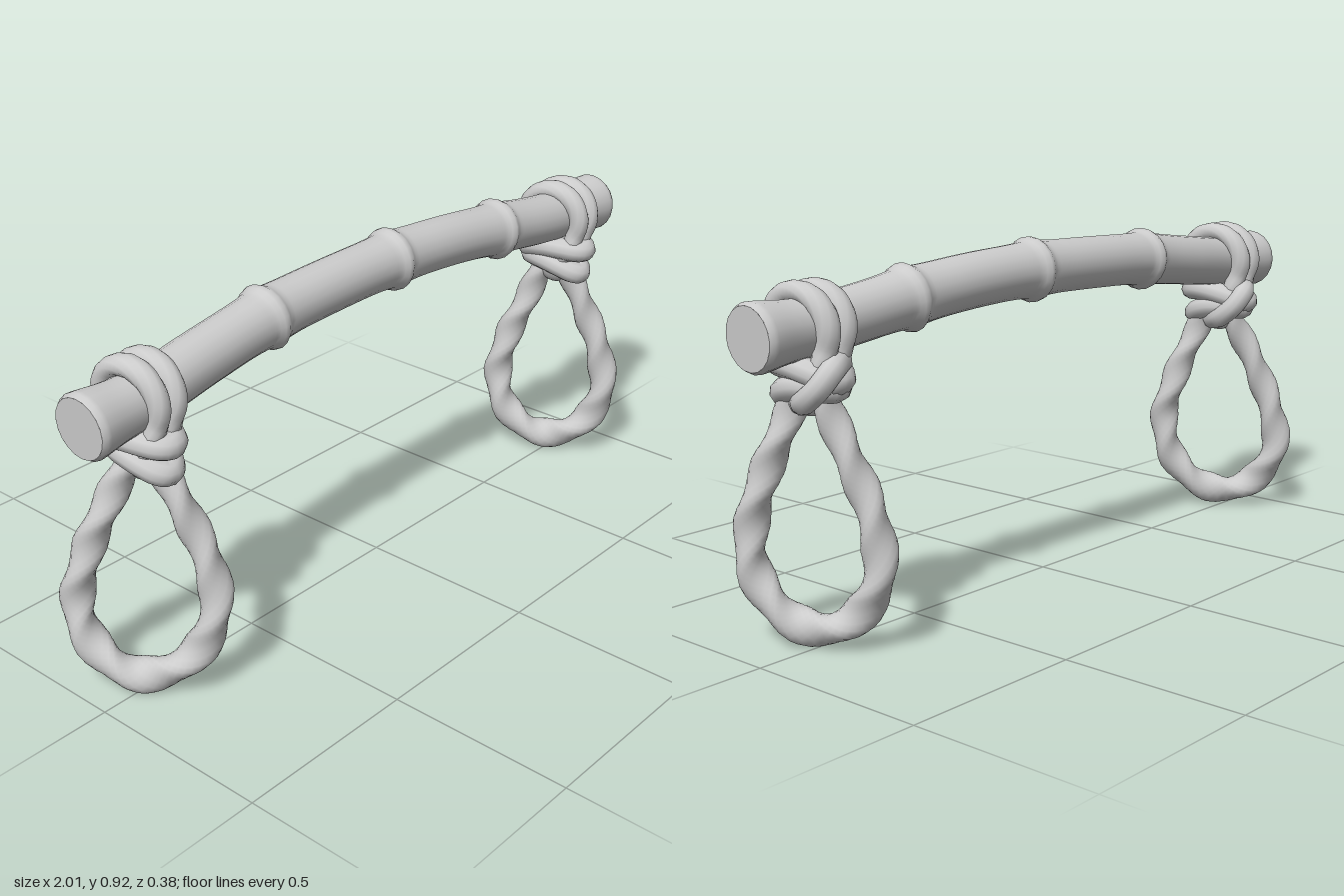
import * as THREE from 'three';

const material = new THREE.MeshStandardMaterial({ color: 0xcccccc, side: THREE.DoubleSide });
const vectors = (list) => list.map((p) => new THREE.Vector3(...p));
const curveOf = (list, closed = false) => new THREE.CatmullRomCurve3(vectors(list), closed, 'centripetal');

// Sweeps an oval section along a curve; section(u, point) gives { a, b, turn }
function sweep(name, curve, segments, sides, section) {
  const closed = curve.closed;
  const frames = curve.computeFrenetFrames(segments, closed);
  const rows = closed ? segments : segments + 1;
  const position = [];
  const index = [];
  for (let i = 0; i < rows; i++) {
    const u = i / segments;
    const p = curve.getPointAt(u);
    const { a, b, turn } = section(u, p);
    for (let j = 0; j < sides; j++) {
      const t = (j / sides) * Math.PI * 2;
      const x = a * Math.cos(t);
      const y = b * Math.sin(t);
      const v = p.clone()
        .addScaledVector(frames.normals[i], x * Math.cos(turn) - y * Math.sin(turn))
        .addScaledVector(frames.binormals[i], x * Math.sin(turn) + y * Math.cos(turn));
      position.push(v.x, v.y, v.z);
    }
  }
  for (let i = 0; i < segments; i++) {
    const r0 = i * sides;
    const r1 = ((i + 1) % rows) * sides;
    for (let j = 0; j < sides; j++) {
      const k = (j + 1) % sides;
      index.push(r0 + j, r0 + k, r1 + j, r0 + k, r1 + k, r1 + j);
    }
  }
  const geometry = new THREE.BufferGeometry();
  geometry.setAttribute('position', new THREE.Float32BufferAttribute(position, 3));
  geometry.setIndex(index);
  geometry.computeVertexNormals();
  const mesh = new THREE.Mesh(geometry, material);
  mesh.name = name;
  return mesh;
}

// Bowed bamboo-like bar with raised rings and flared, bevelled ends
function createBar() {
  const group = new THREE.Group();
  group.name = 'bar';
  const curve = curveOf([
    [-1, 0.77, 0], [-0.8, 0.778, -0.007], [-0.6, 0.8, -0.025], [-0.38, 0.825, -0.036],
    [-0.15, 0.836, -0.038], [0.09, 0.84, -0.033], [0.3, 0.832, -0.022], [0.52, 0.811, -0.01],
    [0.75, 0.782, -0.002], [1, 0.77, 0],
  ]);
  const rings = [-0.38, 0.09, 0.52];
  const radius = (x) => {
    let r = 0.071;
    for (const c of rings) {
      const d = x - c;
      r += 0.012 * Math.exp(-((d / 0.016) ** 2)) + 0.004 * Math.exp(-((d / 0.06) ** 2));
    }
    const end = 1 - Math.abs(x);
    r += 0.013 * Math.exp(-((end / 0.08) ** 2));
    return r - 0.008 * Math.max(0, 1 - end / 0.012);
  };
  group.add(sweep('shaft', curve, 170, 20, (u, p) => ({ a: radius(p.x), b: radius(p.x), turn: 0 })));
  for (const side of [-1, 1]) {
    const cap = new THREE.Mesh(new THREE.CircleGeometry(radius(1), 20), material);
    cap.name = 'endCap';
    cap.position.copy(curve.getPointAt(side > 0 ? 1 : 0));
    const outward = curve.getTangentAt(side > 0 ? 1 : 0).multiplyScalar(side);
    cap.quaternion.setFromUnitVectors(new THREE.Vector3(0, 0, 1), outward);
    group.add(cap);
  }
  return group;
}

// Twisted hand loop, two coils over the bar and the knot between them
function createRope(name, x, y, z, loopPoints) {
  const group = new THREE.Group();
  group.name = name;

  group.add(sweep('handLoop', curveOf(loopPoints), 110, 12, (u) => {
    const grow = 0.82 + 0.18 * Math.sin(Math.PI * u);
    return { a: 0.047 * grow, b: 0.036 * grow, turn: u * Math.PI * 9 };
  }));

  // Coils hug the bar and pinch together inside the knot
  for (const s of [-1, 1]) {
    const points = [];
    for (let i = 0; i < 12; i++) {
      const t = (i / 12) * Math.PI * 2;
      points.push([
        x + s * (0.025 + 0.004 * Math.sin(t)) + 0.008 * Math.cos(t),
        y + 0.086 * Math.sin(t), z + 0.085 * Math.cos(t),
      ]);
    }
    points.splice(8, 3, [x + s * 0.025, y - 0.09, z - 0.06],
      [x + s * 0.018, y - 0.15, z], [x + s * 0.025, y - 0.09, z + 0.06]);
    group.add(sweep('barCoil', curveOf(points, true), 60, 10, (u) => ({
      a: 0.03, b: 0.026, turn: u * Math.PI * 2,
    })));
  }

  // Two wraps tilted against each other
  for (const [height, rx, rz, tilt] of [[0.68, 0.044, 0.095, 0.012], [0.634, 0.04, 0.082, -0.014]]) {
    const points = [];
    for (let i = 0; i < 12; i++) {
      const t = (i / 12) * Math.PI * 2;
      points.push([
        x + rx * Math.cos(t), height + tilt * Math.sin(t) + 0.008 * Math.cos(2 * t), z + rz * Math.sin(t),
      ]);
    }
    group.add(sweep('knotWrap', curveOf(points, true), 48, 10, () => ({ a: 0.034, b: 0.032, turn: 0 })));
  }

  // Strand crossing the outside of the knot
  const cross = curveOf([
    [x - 0.03, 0.7, z - 0.07], [x + 0.02, 0.69, z - 0.1], [x + 0.05, 0.65, z - 0.085],
    [x + 0.052, 0.615, z - 0.04], [x + 0.02, 0.6, z + 0.01],
  ]);
  group.add(sweep('knotCross', cross, 24, 10, () => ({ a: 0.03, b: 0.03, turn: 0 })));

  const core = new THREE.Mesh(new THREE.SphereGeometry(1, 14, 10), material);
  core.name = 'knotCore';
  core.scale.set(0.045, 0.058, 0.06);
  core.position.set(x, 0.625, z);
  group.add(core);
  return group;
}

export function createModel() {
  const model = new THREE.Group();
  model.name = 'ropeHungBar';
  model.add(createBar());
  model.add(createRope('rightRope', -0.815, 0.782, -0.008, [
    [-0.805, 0.62, 0.03], [-0.785, 0.52, 0.075], [-0.758, 0.4, 0.115], [-0.752, 0.28, 0.146],
    [-0.775, 0.15, 0.125], [-0.825, 0.07, 0.065], [-0.88, 0.047, -0.005], [-0.925, 0.09, -0.085],
    [-0.94, 0.2, -0.145], [-0.925, 0.33, -0.13], [-0.885, 0.48, -0.085], [-0.83, 0.62, -0.035],
  ]));
  model.add(createRope('leftRope', 0.82, 0.775, 0.002, [
    [0.83, 0.62, 0.035], [0.865, 0.49, 0.08], [0.89, 0.36, 0.125], [0.897, 0.23, 0.147],
    [0.883, 0.13, 0.118], [0.85, 0.066, 0.06], [0.82, 0.047, 0], [0.785, 0.066, -0.06],
    [0.758, 0.13, -0.118], [0.752, 0.23, -0.147], [0.762, 0.36, -0.125], [0.79, 0.49, -0.08],
    [0.815, 0.62, -0.035],
  ]));
  return model;
}
